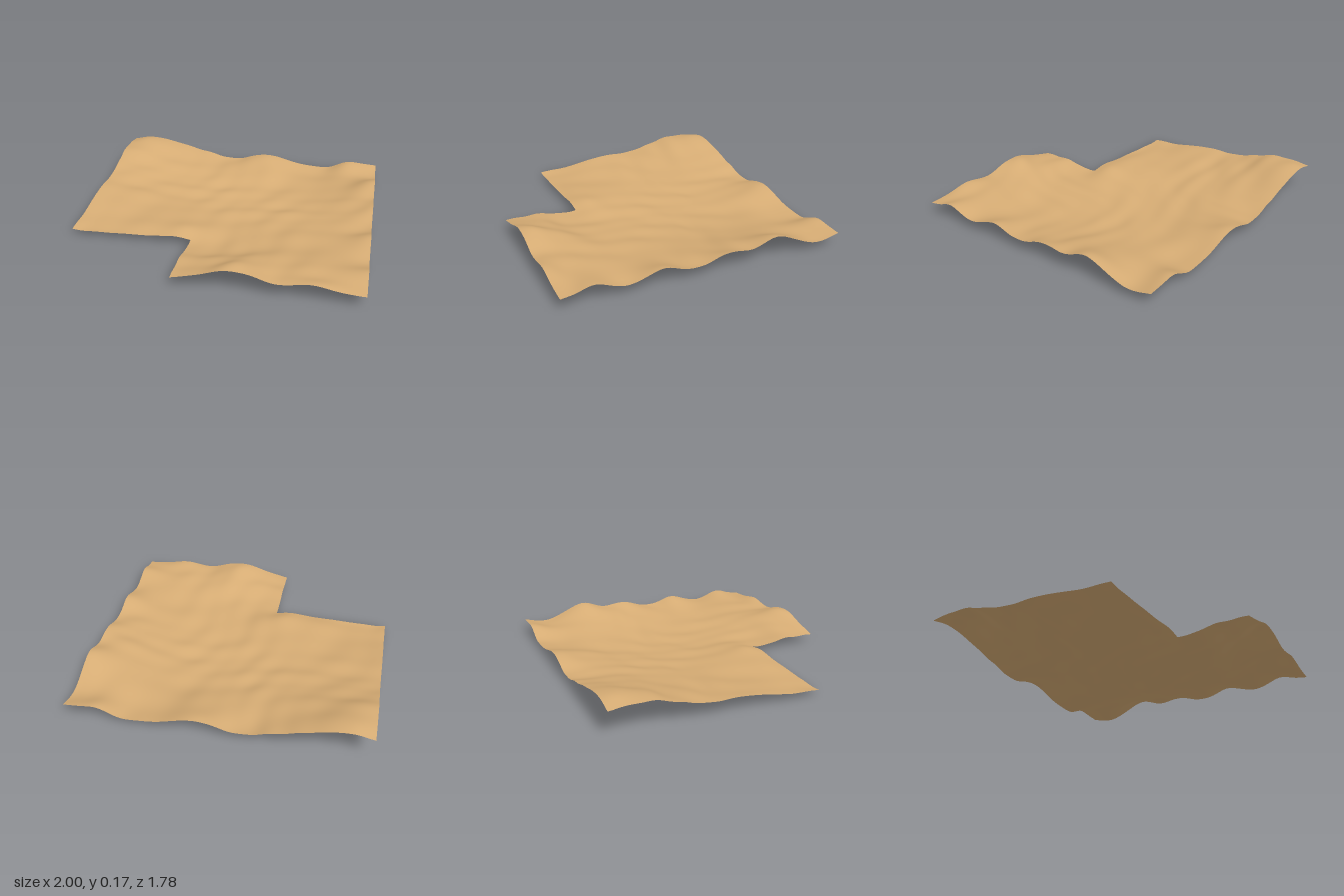
import * as THREE from 'three';

// Surveyed heights across the sheet: [x, z, y]
const survey = [
  // back edge
  [-1, -0.53, 0.145], [-0.9, -0.5, 0.178], [-0.79, -0.57, 0.158], [-0.6, -0.62, 0.115], [-0.41, -0.66, 0.065], [-0.24, -0.7, 0.06],
  [-0.08, -0.7, 0.1], [0.15, -0.78, 0.045], [0.34, -0.82, 0.04], [0.45, -0.84, 0.08], [0.65, -0.89, 0.075],
  // right edge
  [0.68, -0.74, 0.055], [0.74, -0.5, 0.138], [0.78, -0.33, 0.103], [0.8, -0.22, 0.108], [0.84, -0.04, 0.07],
  [0.88, 0.15, 0.1], [0.92, 0.34, 0.063], [0.96, 0.5, 0.103], [1, 0.67, 0.068],
  // front edges and notch
  [0.85, 0.71, 0.08], [0.7, 0.74, 0.103], [0.57, 0.77, 0.08], [0.36, 0.76, 0.138], [0.16, 0.85, 0.09],
  [0.03, 0.89, 0.06], [-0.01, 0.68, 0.06], [-0.06, 0.47, 0.04], [-0.12, 0.4, 0.065], [-0.4, 0.54, 0.042], [-0.745, 0.62, 0.04],
  // left edge
  [-0.78, 0.44, 0.045], [-0.83, 0.25, 0.085], [-0.87, 0.06, 0.085], [-0.9, -0.1, 0.105], [-0.94, -0.27, 0.15],
  // basin
  [-0.6, -0.2, 0.075], [-0.5, 0.2, 0.05], [-0.3, -0.3, 0.045], [-0.2, 0.1, 0.033], [0.1, -0.2, 0.012],
  [0.15, 0.2, 0.025], [0.45, -0.2, 0.035], [0.4, 0.35, 0.045], [0.15, 0.55, 0.045], [0.1, -0.5, 0.03],
  [0.45, -0.55, 0.05], [0.65, 0.2, 0.05],
];

const kernel = (dx, dz) => Math.sqrt(dx * dx + dz * dz + 0.004);

// Solve for the weights of a smooth surface through every survey point
function solveWeights() {
  const rows = survey.map(([x, z, y]) => [...survey.map(([px, pz]) => kernel(x - px, z - pz)), y]);
  const n = rows.length;
  for (let k = 0; k < n; k++) {
    let pivot = k;
    for (let r = k + 1; r < n; r++) if (Math.abs(rows[r][k]) > Math.abs(rows[pivot][k])) pivot = r;
    [rows[k], rows[pivot]] = [rows[pivot], rows[k]];
    for (let r = 0; r < n; r++) {
      if (r === k) continue;
      const f = rows[r][k] / rows[k][k];
      for (let q = k; q <= n; q++) rows[r][q] -= f * rows[k][q];
    }
  }
  return rows.map((row, k) => row[n] / row[k]);
}

const weights = solveWeights();

// Survey surface plus fine diagonal ripples
function heightAt(x, z) {
  let base = 0;
  survey.forEach(([px, pz], k) => { base += weights[k] * kernel(x - px, z - pz); });
  const warp = 0.6 * Math.sin(5 * x - 3 * z) + 0.5 * Math.sin(7 * z + 1);
  return base
    + 0.005 * Math.sin(13 * x + 17 * z + 2 * warp) * Math.sin(9 * x - 6 * z + 1.3)
    + 0.003 * Math.sin(24 * x + 19 * z + 3 * warp) * Math.sin(15 * z - 11 * x);
}

// Evenly spaced values through two spans meeting at the notch
function spans(mid, end, n1, n2) {
  const out = [];
  for (let i = 0; i <= n1; i++) out.push(mid * i / n1);
  for (let i = 1; i <= n2; i++) out.push(mid + (end - mid) * i / n2);
  return out;
}

// Tilted grid with the front left corner cut away
function terrainGeometry() {
  const nu = 40, nv = 64;
  const us = spans(0.702, 1.69, nu, 56), vs = spans(1.18, 1.606, nv, 24);
  const origin = [-1, -0.53], c = 0.977, s = 0.216;
  const positions = [], index = [], ids = new Map();
  const vertex = (i, j) => {
    const key = j * us.length + i;
    if (!ids.has(key)) {
      const x = origin[0] + us[i] * c + vs[j] * s;
      const z = origin[1] - us[i] * s + vs[j] * c;
      ids.set(key, positions.length / 3);
      positions.push(x, heightAt(x, z), z);
    }
    return ids.get(key);
  };
  for (let j = 0; j < vs.length - 1; j++) {
    for (let i = 0; i < us.length - 1; i++) {
      if (i < nu && j >= nv) continue;
      const a = vertex(i, j), b = vertex(i + 1, j), d = vertex(i, j + 1), e = vertex(i + 1, j + 1);
      index.push(a, d, b, b, d, e);
    }
  }
  const geometry = new THREE.BufferGeometry();
  geometry.setAttribute('position', new THREE.Float32BufferAttribute(positions, 3));
  geometry.setIndex(index);
  geometry.computeBoundingBox();
  geometry.translate(0, -geometry.boundingBox.min.y, 0);
  geometry.computeVertexNormals();
  return geometry;
}

export function createModel() {
  const group = new THREE.Group();
  group.name = 'desertTerrain';
  const sand = new THREE.MeshStandardMaterial({ color: 0xd6ac74, side: THREE.DoubleSide });
  sand.name = 'sand';
  const ground = new THREE.Mesh(terrainGeometry(), sand);
  ground.name = 'sandSurface';
  group.add(ground);
  return group;
}
